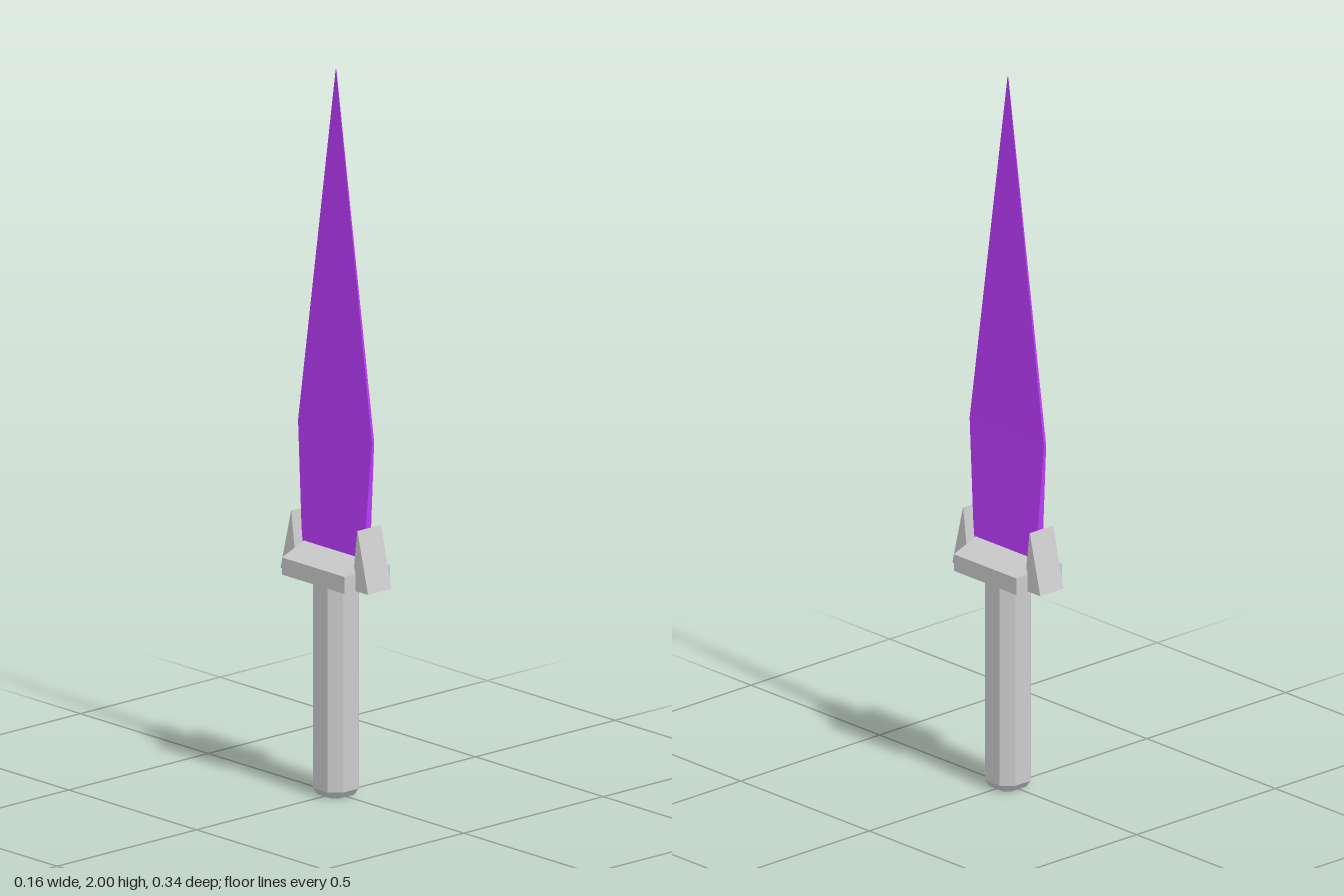
import * as THREE from 'three';

// Rectangle cross-section, counter-clockwise seen from above
const rect = (y, hx, z0, z1, cx = 0) => [
  [cx + hx, y, z1], [cx + hx, y, z0], [cx - hx, y, z0], [cx - hx, y, z1],
];

// Square cross-section of half width r with flats of half width f
const octagon = (y, r, f) => [
  [r, f], [r, -f], [f, -r], [-f, -r], [-r, -f], [-r, f], [-f, r], [f, r],
].map(([x, z]) => [x, y, z]);

// Faceted solid through cross-sections stacked from bottom to top
function loft(rings) {
  const pos = [];
  const tri = (a, b, c) => pos.push(...a, ...b, ...c);
  const n = rings[0].length;
  for (let k = 0; k < rings.length - 1; k++) {
    const lo = rings[k], hi = rings[k + 1];
    for (let i = 0; i < n; i++) {
      const j = (i + 1) % n;
      tri(lo[i], lo[j], hi[j]);
      tri(lo[i], hi[j], hi[i]);
    }
  }
  const bottom = rings[0], top = rings[rings.length - 1];
  for (let i = 1; i < n - 1; i++) {
    tri(bottom[0], bottom[i + 1], bottom[i]);
    tri(top[0], top[i], top[i + 1]);
  }
  const geo = new THREE.BufferGeometry();
  geo.setAttribute('position', new THREE.Float32BufferAttribute(pos, 3));
  geo.computeVertexNormals();
  return geo;
}

export function createModel() {
  const model = new THREE.Group();
  const grey = new THREE.MeshStandardMaterial({ color: 0xcccccc, flatShading: true });
  const purple = new THREE.MeshStandardMaterial({ color: 0xbf3cff, flatShading: true });
  const add = (name, rings, material) => {
    const mesh = new THREE.Mesh(loft(rings), material);
    mesh.name = name;
    model.add(mesh);
    return mesh;
  };

  // Eight-sided grip with a bevelled butt
  add('handle', [octagon(0, 0.042, 0.026), octagon(0.02, 0.057, 0.028), octagon(0.595, 0.057, 0.028)], grey);

  // Crossguard block with a sloping roof
  add('guard', [
    rect(0.593, 0.082, -0.122, 0.122),
    rect(0.64, 0.082, -0.122, 0.122),
    rect(0.675, 0.012, -0.113, 0.113),
  ], grey);

  // Upright wedges at both ends of the guard
  for (const [side, name] of [[1, 'frontGuardWedge'], [-1, 'backGuardWedge']]) {
    const wedge = add(name, [rect(0.593, 0.042, 0.108, 0.171), rect(0.76, 0.042, 0.129, 0.13)], grey);
    if (side < 0) wedge.rotation.y = Math.PI;
  }

  // Thin blade, widest above the guard, tapering to a slightly offset tip
  add('blade', [
    rect(0.67, 0.012, -0.12, 0.12),
    rect(1.0, 0.004, -0.143, 0.146, -0.001),
    rect(2.0, 0.0005, 0.009, 0.011, -0.009),
  ], purple);

  return model;
}
